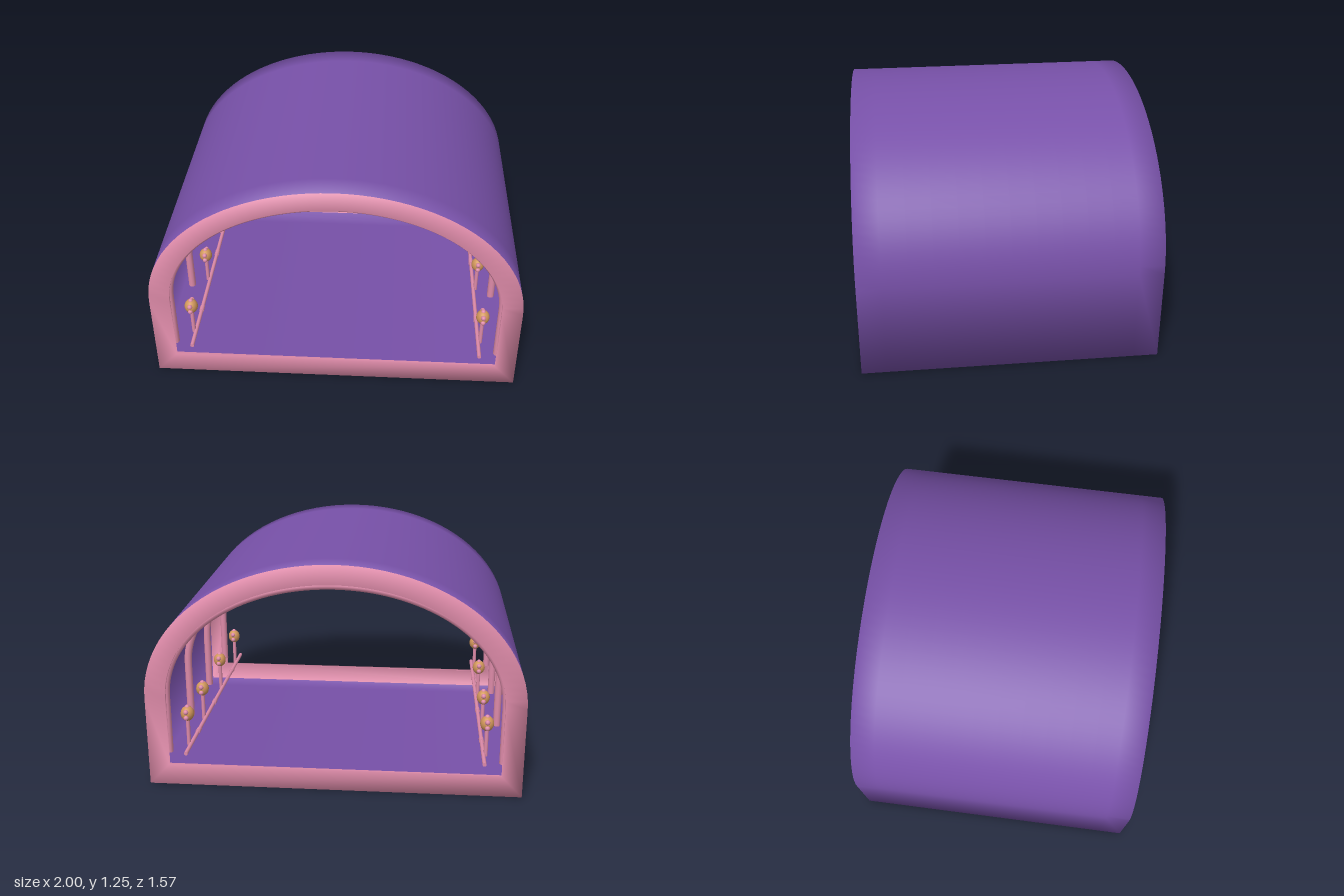
import * as THREE from 'three';

const purple = new THREE.MeshStandardMaterial({ name: 'purple shell', color: 0x7851a9, side: THREE.DoubleSide });
const pink = new THREE.MeshStandardMaterial({ name: 'pink trim', color: 0xde8ba9, side: THREE.DoubleSide });
const amber = new THREE.MeshStandardMaterial({ name: 'amber lamp', color: 0xd0965a });

const HALF = 0.785;   // half length of the tunnel
const SPRING = 0.5;   // height where the walls turn into the arch

// Closed section: floor, right wall, elliptical arch, left wall
function section(a, floor, top) {
  const pts = [[-a, floor], [a, floor]], nArch = 48;
  for (let i = 0; i <= nArch; i++) {
    const t = Math.PI * i / nArch;
    pts.push([a * Math.cos(t), SPRING + (top - SPRING) * Math.sin(t)]);
  }
  return pts;
}

// Thin shell whose ends turn inward as trim rings, with soft shared normals
function shellGeometry() {
  const outer = section(1, 0, 1.245), inner = section(0.89, 0.115, 1.14);
  const n = outer.length, L = 12, lip = 0.02;
  const rows = [[inner, -HALF + lip], [inner, -HALF]];
  for (let j = 0; j <= L; j++) rows.push([outer, -HALF + 2 * HALF * j / L]);
  rows.push([inner, HALF], [inner, HALF - lip]);

  const pos = [], walls = [], ends = [];
  for (const [pts, z] of rows) for (const [x, y] of pts) pos.push(x, y, z);
  for (let j = 0; j < rows.length - 1; j++) {
    const isWall = rows[j][0] === outer && rows[j + 1][0] === outer;
    const target = isWall ? walls : ends;
    for (let i = 0; i < n; i++) {
      const m = (i + 1) % n;
      const a = j * n + i, b = j * n + m, c = a + n, d = b + n;
      target.push(a, b, d, a, d, c);
    }
  }
  const geo = new THREE.BufferGeometry();
  geo.setAttribute('position', new THREE.Float32BufferAttribute(pos, 3));
  geo.setIndex([...walls, ...ends]);
  geo.addGroup(0, walls.length, 0);
  geo.addGroup(walls.length, ends.length, 1);
  geo.computeVertexNormals();
  return geo;
}

// Path of an inner rib, from one wall foot over the arch to the other
function ribGeometry() {
  const pts = [];
  for (let i = 0; i < 4; i++) pts.push(new THREE.Vector3(0.897, 0.17 + 0.0825 * i, 0));
  for (let i = 0; i <= 32; i++) {
    const t = Math.PI * i / 32;
    pts.push(new THREE.Vector3(0.897 * Math.cos(t), SPRING + 0.625 * Math.sin(t), 0));
  }
  for (let i = 3; i >= 0; i--) pts.push(new THREE.Vector3(-0.897, 0.17 + 0.0825 * i, 0));
  return new THREE.TubeGeometry(new THREE.CatmullRomCurve3(pts), 90, 0.021, 10);
}

function add(parent, name, geo, mat, x, y, z) {
  const mesh = new THREE.Mesh(geo, mat);
  mesh.name = name;
  mesh.position.set(x, y, z);
  parent.add(mesh);
  return mesh;
}

// Lamp on a thin post, with small beads on its faces and top
function lamp() {
  const g = new THREE.Group();
  g.name = 'lamp';
  add(g, 'lampPost', new THREE.CylinderGeometry(0.011, 0.011, 0.16, 10), pink, 0, 0.25, 0);
  add(g, 'lampGlobe', new THREE.SphereGeometry(0.037, 16, 12), amber, 0, 0.36, 0).scale.y = 1.15;
  const bead = new THREE.SphereGeometry(0.014, 10, 8);
  for (const s of [-1, 1]) {
    for (const y of [0.345, 0.378]) add(g, 'lampBead', bead, pink, 0, y, s * 0.033);
  }
  add(g, 'lampFinial', bead, pink, 0, 0.396, 0);
  return g;
}

export function createModel() {
  const model = new THREE.Group();
  model.name = 'archedTunnel';

  add(model, 'tunnelShell', shellGeometry(), [purple, pink], 0, 0, 0);

  // Ribs standing clear of the walls
  const rib = ribGeometry();
  for (const z of [0.735, 0.245, -0.245, -0.735]) add(model, 'rib', rib, pink, 0, 0, z);

  // Rail with clamps and lamps on each side
  for (const s of [-1, 1]) {
    const side = new THREE.Group();
    side.name = s > 0 ? 'leftRailing' : 'rightRailing';
    add(side, 'rail', new THREE.CylinderGeometry(0.011, 0.011, 2 * HALF - 0.01, 10), pink,
      s * 0.797, 0.18, 0).rotation.x = Math.PI / 2;
    for (const z of [0.47, -0.06, -0.48]) {
      add(side, 'railClamp', new THREE.CylinderGeometry(0.014, 0.014, 0.04, 10), pink,
        s * 0.797, 0.18, z).rotation.x = Math.PI / 2;
    }
    for (const z of [0.65, 0.19, -0.29, -0.65]) {
      const l = lamp();
      l.position.set(s * 0.81, 0, z);
      side.add(l);
    }
    model.add(side);
  }
  return model;
}
